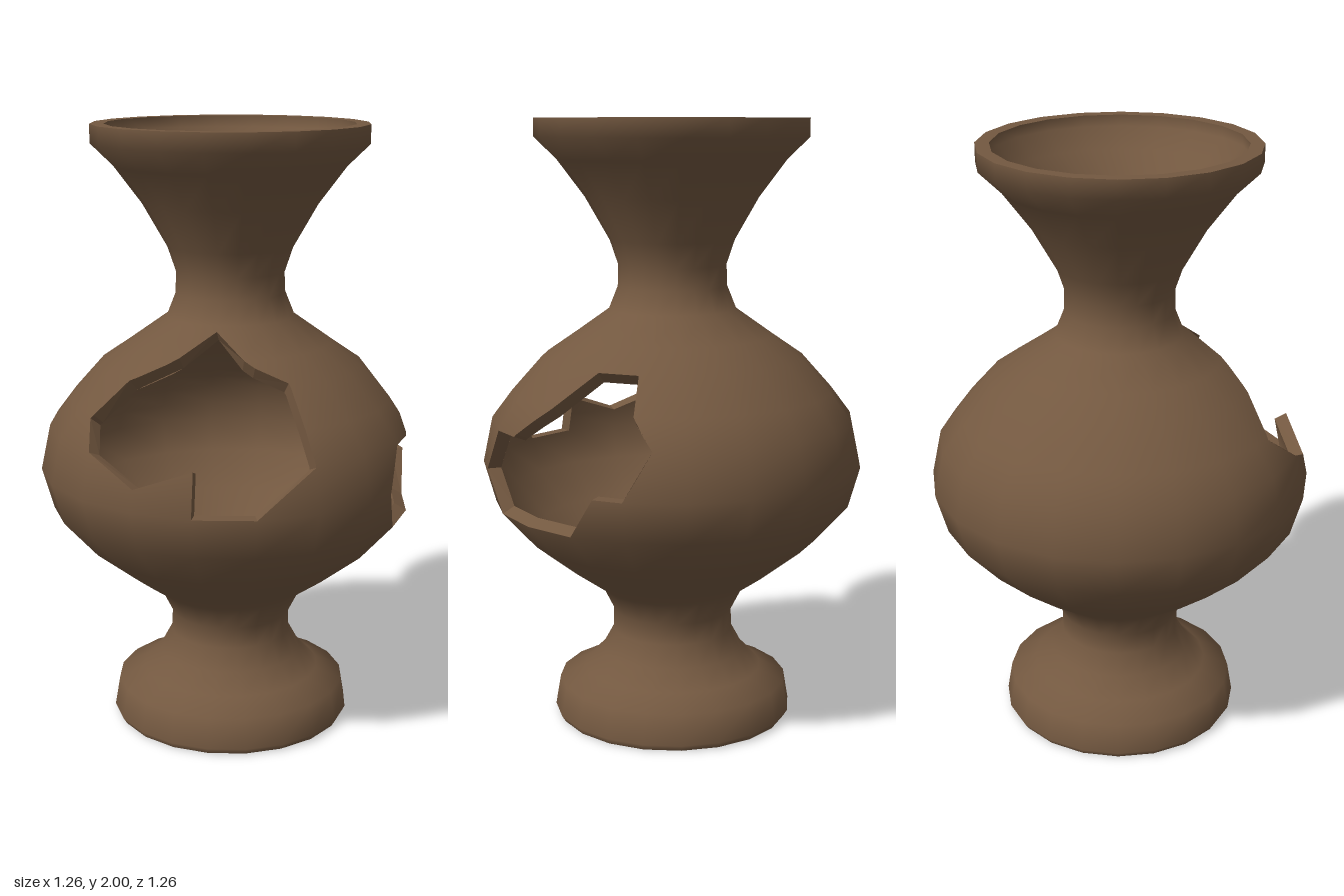
import * as THREE from 'three';

const SIDES = 20, STEP = 360 / SIDES, WALL = 0.045;

// Outer profile [radius, height], foot to rim
const PROFILE = [
  [0.39, 0], [0.402, 0.02], [0.385, 0.12], [0.3, 0.16], [0.24, 0.22], [0.202, 0.29], [0.2, 0.36],
  [0.24, 0.44], [0.34, 0.51], [0.48, 0.62], [0.592, 0.745], [0.63, 0.88], [0.598, 1.03],
  [0.53, 1.12], [0.432, 1.23], [0.33, 1.3], [0.21, 1.385], [0.18, 1.46], [0.178, 1.53],
  [0.205, 1.61], [0.285, 1.75], [0.375, 1.87], [0.447, 1.94], [0.447, 2],
];
const FLOOR = 5; // first profile row of the hollow

// Broken openings as [angle from the front in degrees, height], counter-clockwise
const leftHole = [[18, 0.745], [54, 0.745], [63, 0.88], [72, 0.88], [80, 1.03], [73, 1.12],
  [72, 1.23], [54, 1.23], [29, 1.02], [18, 1.02], [10.5, 0.88]];
const rightHole = [[36, 0.88], [54, 0.88], [54, 1.02], [72, 0.95], [90, 1.03], [99, 1.11],
  [90, 1.23], [54, 1.37], [31, 1.28], [18, 1.24], [18, 1.02]].map(([a, y]) => [-a, y]).reverse();
const HOLES = [leftHole, rightHole];
const EDGES = HOLES.flatMap(h => h.map((p, i) => [p, h[(i + 1) % h.length]]));

const COLUMNS = Array.from({ length: SIDES + 1 }, (_, i) => -180 + i * STEP);
const ROWS = PROFILE.map(p => p[1]);

// Smoothed profile normals, and the inner profile offset along them
const NORMALS = PROFILE.map((p, i) => {
  const a = PROFILE[Math.max(i - 1, 0)], b = PROFILE[Math.min(i + 1, PROFILE.length - 1)];
  return new THREE.Vector2(b[1] - a[1], a[0] - b[0]).normalize().toArray();
});
const INNER = PROFILE.map(([r, y], i) =>
  [r - NORMALS[i][0] * WALL, i === PROFILE.length - 1 ? y : y - NORMALS[i][1] * WALL]);

const lerp = THREE.MathUtils.lerp;

// Value of a profile table at height y
function sample(table, y) {
  let i = 0;
  while (i < ROWS.length - 2 && y > ROWS[i + 1]) i++;
  const t = (y - ROWS[i]) / (ROWS[i + 1] - ROWS[i]);
  return [0, 1].map(k => lerp(table[i][k], table[i + 1][k], t));
}

// Point on the faceted wall
function wallPoint(table, [angle, y]) {
  const [r, h] = sample(table, y);
  const c = Math.floor(angle / STEP), t = angle / STEP - c;
  const a = THREE.MathUtils.degToRad(c * STEP), b = THREE.MathUtils.degToRad((c + 1) * STEP);
  return [r * lerp(Math.sin(a), Math.sin(b), t), h, r * lerp(Math.cos(a), Math.cos(b), t)];
}

function wallNormal([angle, y], sign) {
  const [n, h] = sample(NORMALS, y), a = THREE.MathUtils.degToRad(angle);
  return new THREE.Vector3(n * Math.sin(a), h, n * Math.cos(a)).normalize().multiplyScalar(sign).toArray();
}

// Fractions at which an edge crosses profile rows and columns
function crossings([a, b]) {
  const ts = [0, 1];
  for (const [k, lines] of [[0, COLUMNS], [1, ROWS]])
    for (const v of lines) {
      const t = (v - a[k]) / (b[k] - a[k]);
      if (t > 1e-4 && t < 1 - 1e-4) ts.push(t);
    }
  return ts.sort((p, q) => p - q);
}
const along = ([a, b], t) => [lerp(a[0], b[0], t), lerp(a[1], b[1], t)];

// Turned wall with the openings left out, made in horizontal bands of trapezoids
function wallGeometry(table, startRow, inside) {
  const cuts = [...ROWS, ...EDGES.flatMap(e => crossings(e).map(t => along(e, t)[1]))]
    .filter(y => y >= ROWS[startRow]).sort((a, b) => a - b)
    .filter((y, i, all) => i === 0 || y - all[i - 1] > 1e-6);
  const position = [], normal = [];
  for (let i = 0; i < cuts.length - 1; i++) {
    const y0 = cuts[i], y1 = cuts[i + 1], mid = (y0 + y1) / 2;
    const lines = COLUMNS.map(c => ({ lo: c, hi: c, hole: false }));
    for (const [a, b] of EDGES) {
      if ((a[1] < mid) === (b[1] < mid)) continue;
      const at = y => lerp(a[0], b[0], (y - a[1]) / (b[1] - a[1]));
      lines.push({ lo: at(y0), hi: at(y1), hole: true });
    }
    lines.sort((p, q) => p.lo + p.hi - q.lo - q.hi);
    let open = false;
    for (let j = 0; j < lines.length - 1; j++) {
      const l = lines[j], r = lines[j + 1];
      if (l.hole) open = !open;
      if (open || r.lo + r.hi - l.lo - l.hi < 1e-5) continue;
      const q = [[l.lo, y0], [r.lo, y0], [r.hi, y1], [l.hi, y1]];
      for (const k of inside ? [0, 2, 1, 0, 3, 2] : [0, 1, 2, 0, 2, 3]) {
        position.push(...wallPoint(table, q[k]));
        normal.push(...wallNormal(q[k], inside ? -1 : 1));
      }
    }
  }
  const g = new THREE.BufferGeometry();
  g.setAttribute('position', new THREE.Float32BufferAttribute(position, 3));
  g.setAttribute('normal', new THREE.Float32BufferAttribute(normal, 3));
  return g;
}

// Flat broken faces joining the outer and inner walls around an opening
function breakGeometry(hole) {
  const position = [];
  hole.forEach((p, i) => {
    const edge = [p, hole[(i + 1) % hole.length]], ts = crossings(edge);
    for (let j = 0; j < ts.length - 1; j++) {
      const a = along(edge, ts[j]), b = along(edge, ts[j + 1]);
      const q = [wallPoint(PROFILE, a), wallPoint(PROFILE, b), wallPoint(INNER, b), wallPoint(INNER, a)];
      for (const k of [0, 1, 2, 0, 2, 3]) position.push(...q[k]);
    }
  });
  const g = new THREE.BufferGeometry();
  g.setAttribute('position', new THREE.Float32BufferAttribute(position, 3));
  g.computeVertexNormals();
  return g;
}

export function createModel() {
  const clay = new THREE.MeshStandardMaterial({ color: 0x735840, side: THREE.DoubleSide });
  clay.name = 'brown clay';
  const vase = new THREE.Group();
  vase.name = 'brokenVase';
  const add = (name, geometry) => {
    const mesh = new THREE.Mesh(geometry, clay);
    mesh.name = name;
    vase.add(mesh);
    return mesh;
  };

  add('outerWall', wallGeometry(PROFILE, 0, false));
  add('innerWall', wallGeometry(INNER, FLOOR, true));
  add('leftBrokenEdge', breakGeometry(leftHole));
  add('rightBrokenEdge', breakGeometry(rightHole));

  // Flat rim, inner floor and underside
  const top = PROFILE.length - 1;
  add('rim', new THREE.RingGeometry(INNER[top][0], PROFILE[top][0], SIDES).rotateX(-Math.PI / 2)).position.y = 2;
  add('innerFloor', new THREE.CircleGeometry(INNER[FLOOR][0], SIDES).rotateX(-Math.PI / 2)).position.y = INNER[FLOOR][1];
  add('underside', new THREE.CircleGeometry(PROFILE[0][0], SIDES).rotateX(Math.PI / 2));
  return vase;
}
